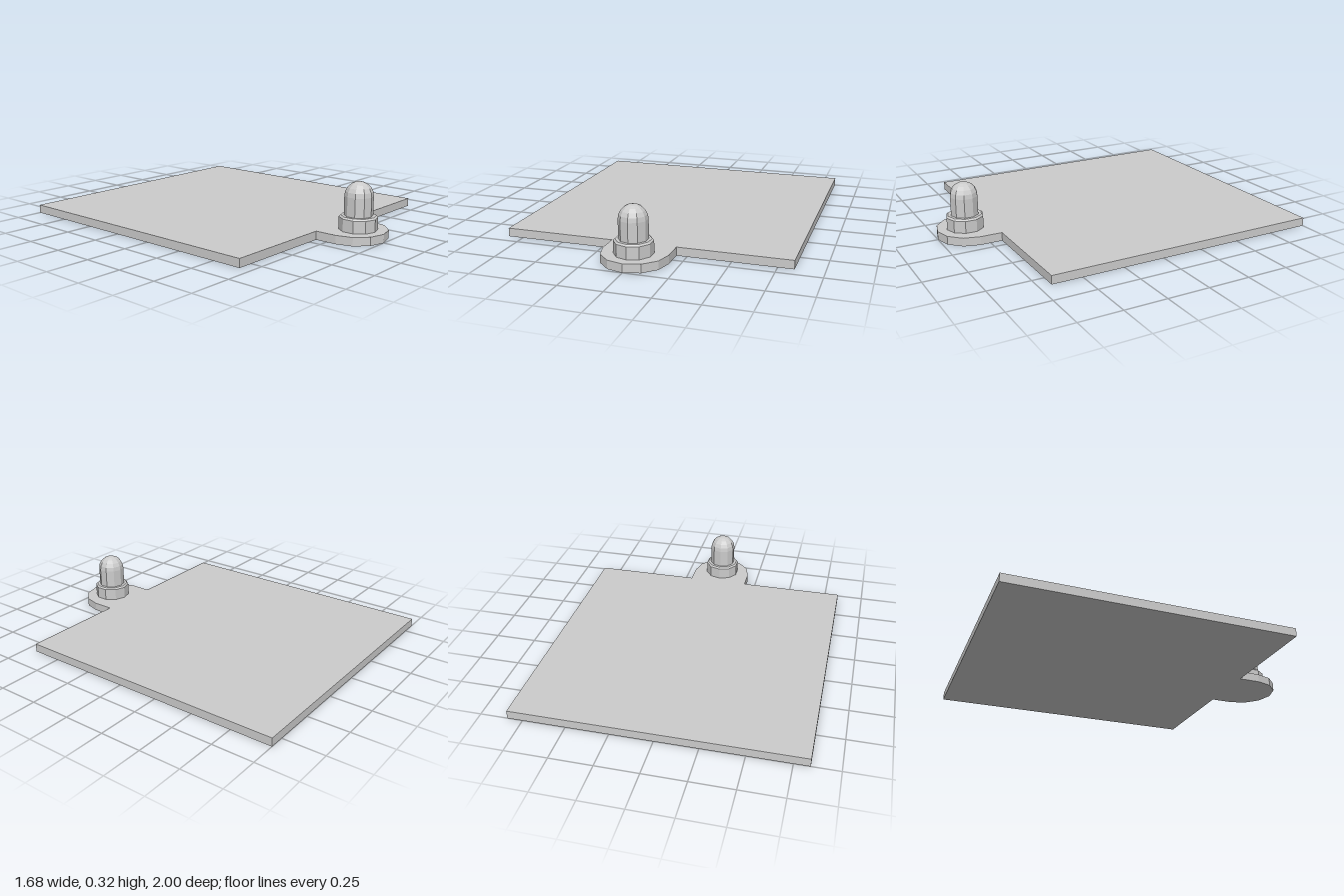
import * as THREE from 'three';

export function createModel() {
  const group = new THREE.Group();
  const material = new THREE.MeshStandardMaterial({ color: 0xcccccc, flatShading: true });
  const add = (name, geometry) => {
    const mesh = new THREE.Mesh(geometry, material);
    mesh.name = name;
    group.add(mesh);
    return mesh;
  };

  const thickness = 0.05, half = 0.84, front = 0.68, back = -1;
  const tabRadius = 0.19, tabZ = 0.81, pinZ = 0.832, sides = 10;

  // Base plate with a rounded tab at the front, drawn in plan (shape y = -z)
  const outline = [[-half, -back], [-half, -front], [-tabRadius, -front]];
  for (let i = 0; i <= 6; i++) {
    const a = Math.PI + (i / 6) * Math.PI;
    outline.push([tabRadius * Math.cos(a), -tabZ + tabRadius * Math.sin(a)]);
  }
  outline.push([tabRadius, -front], [half, -front], [half, -back]);
  const shape = new THREE.Shape(outline.map(([x, y]) => new THREE.Vector2(x, y)));
  const plate = new THREE.ExtrudeGeometry(shape, { depth: thickness, bevelEnabled: false });
  plate.rotateX(-Math.PI / 2);
  add('basePlate', plate);

  // Ten-sided turned parts standing on the tab
  const turned = (name, profile) => {
    const points = profile.map(([r, y]) => new THREE.Vector2(r, y));
    add(name, new THREE.LatheGeometry(points, sides)).position.z = pinZ;
  };

  // Collar with a small chamfer on its top edge
  turned('collar', [[0.11, thickness], [0.11, 0.122], [0.1, 0.132], [0, 0.132]]);

  // Pin with a domed tip
  const pinRadius = 0.082, domeY = 0.243;
  const pin = [[pinRadius, 0.132]];
  for (let i = 0; i <= 5; i++) {
    const a = (i / 5) * Math.PI / 2;
    pin.push([i === 5 ? 0 : pinRadius * Math.cos(a), domeY + pinRadius * Math.sin(a)]);
  }
  turned('domedPin', pin);

  return group;
}
